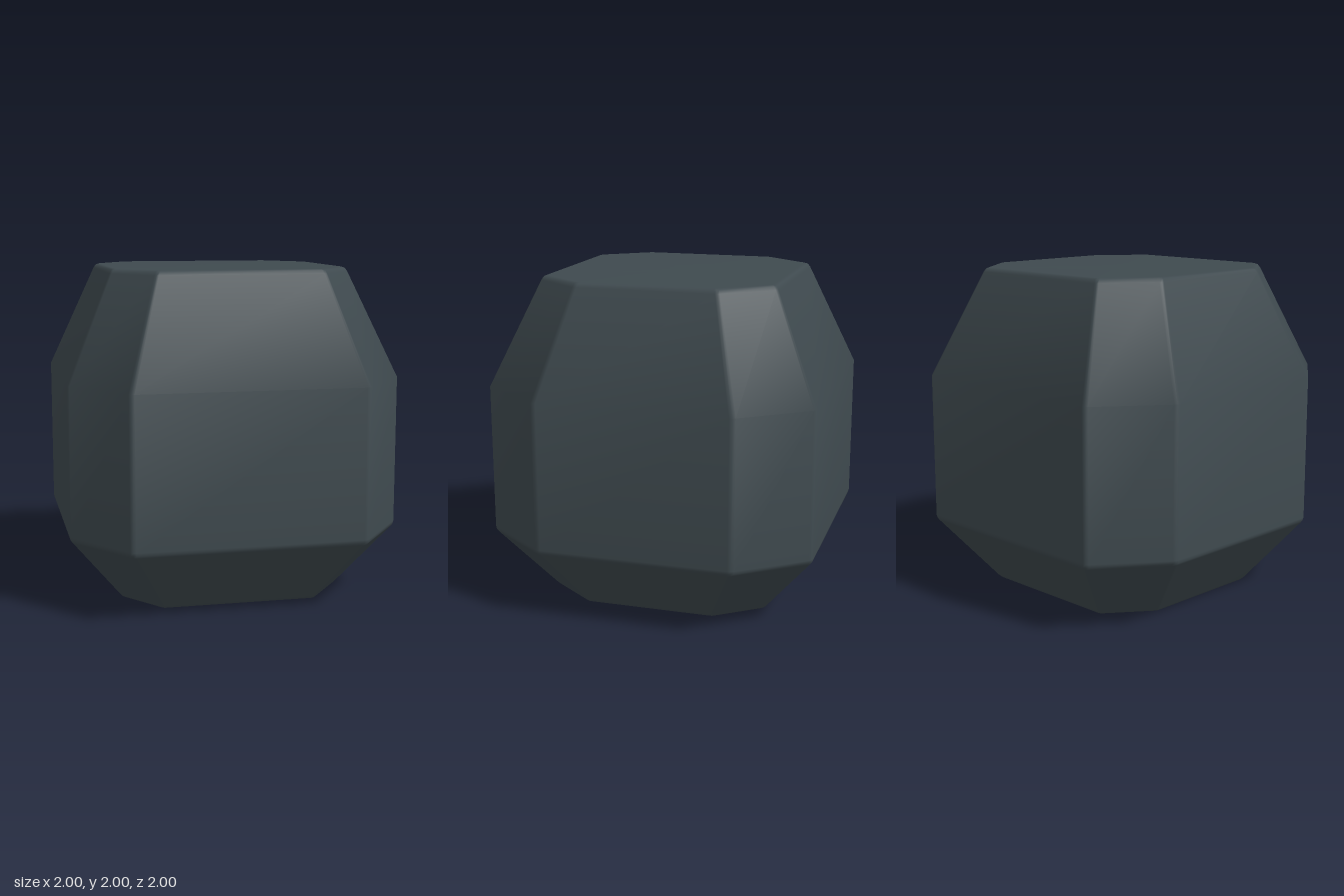
import * as THREE from 'three';

const slate = new THREE.MeshStandardMaterial({ color: 0x3f4a4f });
slate.name = 'dark slate';

// Octagonal plan with each corner softened by a narrow bevel
function softOctagon(bevel) {
  const corners = [[0.69, 1], [1, 0.59], [1, -0.59], [0.69, -1],
    [-0.69, -1], [-1, -0.59], [-1, 0.59], [-0.69, 1]].map(([x, z]) => new THREE.Vector2(x, z));
  const toward = (a, b) => b.clone().sub(a).setLength(bevel).add(a);
  return corners.flatMap((c, i) => {
    const a = toward(c, corners[(i + 7) % 8]);
    const b = toward(c, corners[(i + 1) % 8]);
    const mid = a.clone().add(b).multiplyScalar(0.25).addScaledVector(c, 0.5);
    return [a, mid, b];
  });
}

// Stack scaled copies of the plan and close both ends
function loft(plan, profile) {
  const n = plan.length;
  const positions = [], index = [];
  for (const [y, s] of profile) for (const p of plan) positions.push(p.x * s, y, p.y * s);
  for (let r = 0; r < profile.length - 1; r++) {
    for (let i = 0; i < n; i++) {
      const a = r * n + i, b = r * n + (i + 1) % n;
      index.push(a, b + n, b, a, a + n, b + n);
    }
  }
  const last = (profile.length - 1) * n;
  const bottom = positions.length / 3, top = bottom + 1;
  positions.push(0, profile[0][0], 0, 0, profile.at(-1)[0], 0);
  for (let i = 0; i < n; i++) {
    const j = (i + 1) % n;
    index.push(bottom, i, j, top, last + j, last + i);
  }
  // The plan runs clockwise from above, so turn every face outward
  for (let k = 0; k < index.length; k += 3) {
    const [a, b, c] = [0, 1, 2].map(o => new THREE.Vector3().fromArray(positions, index[k + o] * 3));
    const normal = b.clone().sub(a).cross(c.clone().sub(a));
    const outward = a.add(b).add(c).divideScalar(3).sub(new THREE.Vector3(0, 1, 0));
    if (normal.dot(outward) < 0) [index[k + 1], index[k + 2]] = [index[k + 2], index[k + 1]];
  }
  const geometry = new THREE.BufferGeometry();
  geometry.setAttribute('position', new THREE.Float32BufferAttribute(positions, 3));
  geometry.setIndex(index);
  geometry.computeVertexNormals();
  return geometry;
}

export function createModel() {
  const group = new THREE.Group();
  group.name = 'facetedBlock';
  // [height, scale]: base bevel, flared foot, straight wall, tapered shoulder, top bevel
  const profile = [[0, 0.65], [0.006, 0.668], [0.022, 0.684],
    [0.41, 0.986], [0.425, 0.996], [0.445, 1],
    [1.34, 1],
    [1.972, 0.724], [1.993, 0.71], [2, 0.69]];
  const body = new THREE.Mesh(loft(softOctagon(0.02), profile), slate);
  body.name = 'body';
  group.add(body);
  return group;
}
